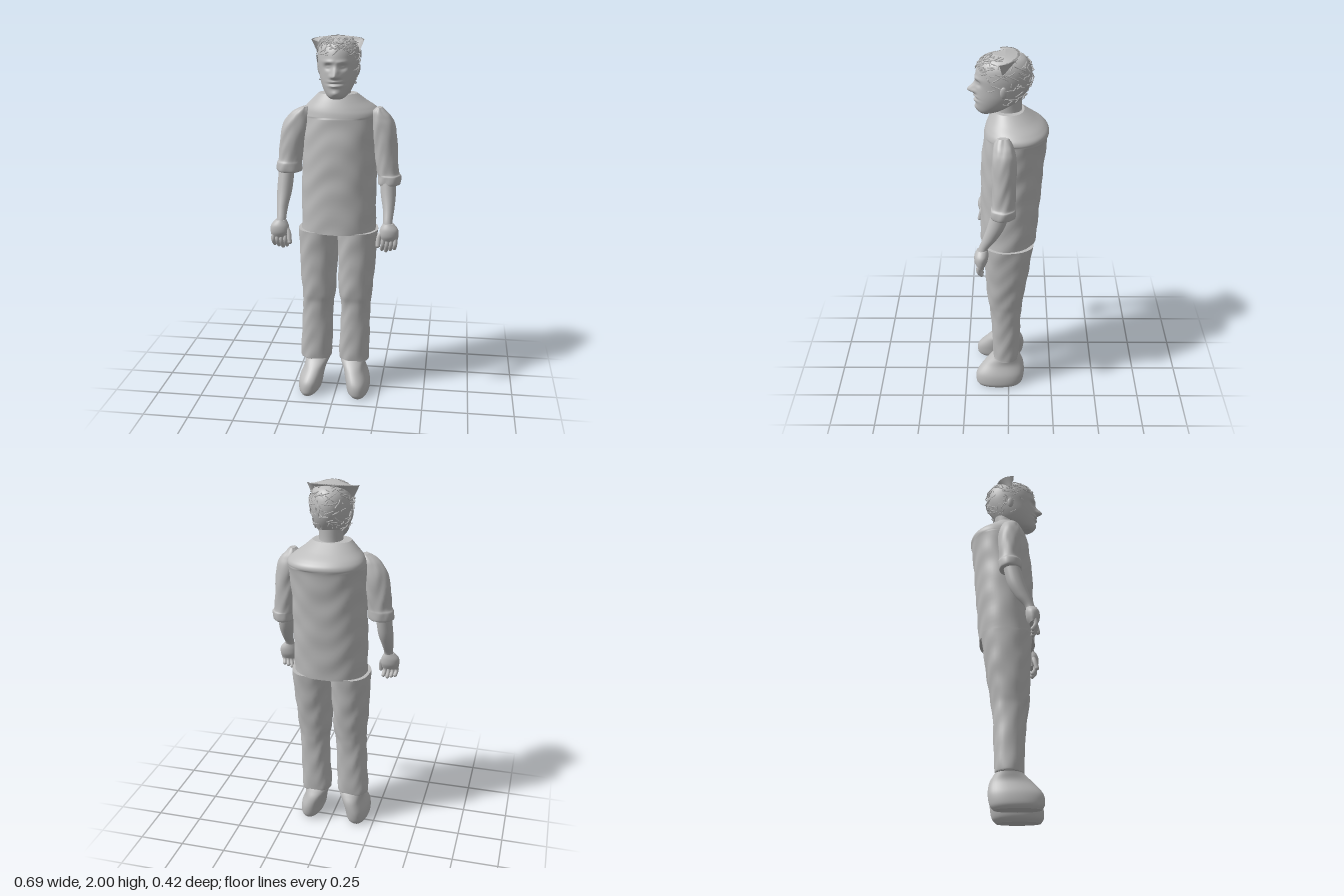
import * as THREE from 'three';
import { ParametricGeometry } from 'three/addons/geometries/ParametricGeometry.js';

const clay = new THREE.MeshStandardMaterial({ color: 0xbcbcbc, side: THREE.DoubleSide });
clay.name = 'clay grey';

let seed = 11;
const rand = () => (seed = (seed * 16807) % 2147483647) / 2147483647;
const bump = (d, s) => Math.exp(-(d * d) / (s * s));

// Smoothly interpolated cross-section; each row is [y, xMin, xMax, zMin, zMax], y ascending
function section(rows, t) {
  const last = rows.length - 1;
  const i = Math.min(Math.floor(t), last - 1), f = t - i;
  const p = (k) => rows[Math.max(0, Math.min(last, k))];
  return rows[0].map((_, c) => {
    const a = p(i - 1)[c], b = p(i)[c], d = p(i + 1)[c], e = p(i + 2)[c];
    return b + 0.5 * f * (d - a + f * (2 * a - 5 * b + 4 * d - e + f * (3 * (b - d) + e - a)));
  });
}

function onSection(rows, t, ang, power = 1, grow = 0) {
  const [y, x0, x1, z0, z1] = section(rows, t);
  const c = Math.cos(ang), s = Math.sin(ang);
  const px = Math.sign(c) * Math.abs(c) ** power, pz = Math.sign(s) * Math.abs(s) ** power;
  return new THREE.Vector3(
    (x0 + x1) / 2 + ((x1 - x0) / 2 + grow) * px, y, (z0 + z1) / 2 + ((z1 - z0) / 2 + grow) * pz);
}

// Closed skin over stacked cross-sections, with flat caps
function loft(rows, { seg = 36, sub = 6, power = 1, warp } = {}) {
  const pos = [], idx = [], n = (rows.length - 1) * sub;
  const add = (v) => pos.push(v.x, v.y, v.z) / 3 - 1;
  const ring = (i) => {
    for (let j = 0; j < seg; j++) {
      const a = (j / seg) * Math.PI * 2, v = onSection(rows, i / sub, a, power);
      if (warp) warp(v, a);
      add(v);
    }
  };
  for (let i = 0; i <= n; i++) ring(i);
  for (let i = 0; i < n; i++) {
    for (let j = 0; j < seg; j++) {
      const a = i * seg + j, b = i * seg + (j + 1) % seg;
      idx.push(a, a + seg, b, b, a + seg, b + seg);
    }
  }
  for (const [i, top] of [[0, false], [n, true]]) {
    const start = pos.length / 3;
    ring(i);
    const [y, x0, x1, z0, z1] = section(rows, i / sub);
    const mid = add(new THREE.Vector3((x0 + x1) / 2, y, (z0 + z1) / 2));
    for (let j = 0; j < seg; j++) {
      const a = start + j, b = start + (j + 1) % seg;
      idx.push(mid, top ? b : a, top ? a : b);
    }
  }
  const g = new THREE.BufferGeometry();
  g.setAttribute('position', new THREE.Float32BufferAttribute(pos, 3));
  g.setIndex(idx);
  g.computeVertexNormals();
  return g;
}

// Soft fabric folds
const cloth = (amp) => (v, a) => {
  const w = amp * (Math.sin(v.y * 46 + 3 * Math.sin(a * 3)) + 0.7 * Math.sin(v.y * 27 + a * 5));
  v.x += w * Math.cos(a);
  v.z += w * Math.sin(a);
};

const TORSO = [
  [0.955, -0.195, 0.21, -0.15, 0.155], [1.2, -0.195, 0.21, -0.17, 0.15], [1.4, -0.19, 0.212, -0.185, 0.145],
  [1.55, -0.19, 0.222, -0.2, 0.13], [1.595, -0.188, 0.225, -0.207, 0.124], [1.625, -0.175, 0.2, -0.185, 0.115],
  [1.66, -0.14, 0.152, -0.135, 0.1], [1.7, -0.1, 0.105, -0.08, 0.08]];
const RIGHT_LEG = [
  [0.19, -0.205, -0.035, -0.055, 0.088], [0.23, -0.208, -0.03, -0.06, 0.09], [0.5, -0.193, -0.022, -0.07, 0.102],
  [0.6, -0.195, -0.008, -0.082, 0.118], [0.75, -0.205, -0.002, -0.105, 0.127], [0.96, -0.212, 0.006, -0.135, 0.137]];
const LEFT_LEG = [
  [0.185, 0.018, 0.182, -0.055, 0.088], [0.23, 0.012, 0.182, -0.06, 0.09], [0.5, 0.025, 0.188, -0.07, 0.102],
  [0.6, 0.01, 0.197, -0.082, 0.118], [0.75, 0.008, 0.21, -0.105, 0.127], [0.96, 0, 0.225, -0.135, 0.137]];
const SHOE = [
  [0, 0.085, 0.18, -0.06, 0.175], [0.025, 0.065, 0.192, -0.08, 0.19], [0.08, 0.055, 0.188, -0.09, 0.186],
  [0.14, 0.04, 0.165, -0.085, 0.14], [0.18, 0.022, 0.165, -0.065, 0.1], [0.21, 0.022, 0.168, -0.045, 0.075]];
const RIGHT_SLEEVE = [
  [1.272, -0.31, -0.205, -0.025, 0.075], [1.28, -0.33, -0.192, -0.035, 0.088], [1.32, -0.328, -0.192, -0.038, 0.088],
  [1.345, -0.316, -0.188, -0.035, 0.082], [1.42, -0.312, -0.17, -0.04, 0.084], [1.52, -0.295, -0.145, -0.04, 0.084],
  [1.58, -0.26, -0.138, -0.028, 0.076], [1.61, -0.225, -0.143, -0.015, 0.068], [1.628, -0.185, -0.155, 0, 0.055]];
const LEFT_SLEEVE = [
  [1.215, 0.24, 0.325, -0.02, 0.08], [1.225, 0.224, 0.342, -0.035, 0.093], [1.265, 0.222, 0.345, -0.038, 0.092],
  [1.29, 0.215, 0.332, -0.035, 0.084], [1.42, 0.2, 0.324, -0.04, 0.084], [1.53, 0.185, 0.312, -0.04, 0.084],
  [1.58, 0.182, 0.29, -0.028, 0.076], [1.61, 0.19, 0.262, -0.015, 0.068], [1.632, 0.21, 0.24, 0, 0.055]];
const FOREARM = [
  [1, 0.262, 0.318, 0.115, 0.165], [1.04, 0.262, 0.312, 0.103, 0.155], [1.1, 0.256, 0.318, 0.055, 0.132],
  [1.18, 0.24, 0.322, 0.012, 0.105], [1.3, 0.23, 0.315, -0.015, 0.075]];
const PALM = [
  [0.935, 0.25, 0.34, 0.125, 0.165], [0.965, 0.243, 0.346, 0.11, 0.178], [1, 0.247, 0.343, 0.105, 0.178],
  [1.03, 0.262, 0.318, 0.108, 0.165]];
const HEAD = [
  [1.685, -0.02, 0.04, 0.085, 0.145], [1.7, -0.042, 0.062, 0.035, 0.16], [1.735, -0.066, 0.086, -0.04, 0.167],
  [1.78, -0.083, 0.103, -0.08, 0.168], [1.83, -0.092, 0.112, -0.107, 0.168], [1.885, -0.098, 0.118, -0.118, 0.168],
  [1.935, -0.093, 0.113, -0.11, 0.155], [1.972, -0.07, 0.09, -0.085, 0.125], [1.993, -0.03, 0.05, -0.04, 0.075]];

// Face relief pushed along z
function face(v, a) {
  if (Math.sin(a) < 0.2) return;
  const x = v.x - 0.01, s = Math.abs(x);
  v.z += 0.042 * bump(x, 0.016) * bump(v.y - 1.806, v.y > 1.806 ? 0.032 : 0.014)
    + 0.01 * bump(s - 0.02, 0.012) * bump(v.y - 1.803, 0.012)
    - 0.016 * bump(s - 0.038, 0.02) * bump(v.y - 1.85, 0.015)
    + 0.007 * bump(s - 0.038, 0.013) * bump(v.y - 1.85, 0.007)
    + 0.006 * bump(s - 0.035, 0.03) * bump(v.y - 1.876, 0.01)
    + 0.011 * bump(x, 0.03) * (bump(v.y - 1.777, 0.008) + bump(v.y - 1.755, 0.008))
    - 0.006 * bump(x, 0.035) * bump(v.y - 1.766, 0.005)
    + 0.009 * bump(x, 0.025) * bump(v.y - 1.715, 0.015);
}

export function createModel() {
  const model = new THREE.Group();
  model.name = 'standingMan';
  const part = (name, geometry, parent = model) => {
    const m = new THREE.Mesh(geometry, clay);
    m.name = name;
    parent.add(m);
    return m;
  };
  const tube = (pts, r, n = 8, sides = 8) => new THREE.TubeGeometry(
    new THREE.CatmullRomCurve3(pts.map((p) => (p.isVector3 ? p : new THREE.Vector3(...p)))), n, r, sides);

  // Clothing
  part('shirt', loft(TORSO, { seg: 56, sub: 10, power: 0.92, warp: (v, a) => v.y < 1.58 && cloth(0.0015)(v, a) }));
  part('rightTrouserLeg', loft(RIGHT_LEG, { sub: 10, power: 0.9, warp: cloth(0.0015) }));
  part('leftTrouserLeg', loft(LEFT_LEG, { sub: 10, power: 0.9, warp: cloth(0.0015) }));
  part('rightSleeve', loft(RIGHT_SLEEVE, { warp: cloth(0.0015) }));
  part('leftSleeve', loft(LEFT_SLEEVE, { warp: cloth(0.0015) }));

  // Shoes, forearms and hands on both sides
  for (const [side, s] of [['left', 1], ['right', -1]]) {
    const mirror = (rows) => (s > 0 ? rows : rows.map(([y, a, b, c, d]) => [y, -b, -a, c, d]));
    const shoe = part(side + 'Shoe', loft(mirror(SHOE), { power: 0.9 }));
    if (s < 0) shoe.position.x = -0.02;
    part(side + 'Forearm', loft(mirror(FOREARM), { seg: 24 }));
    const hand = new THREE.Group();
    hand.name = side + 'Hand';
    model.add(hand);
    part('palm', loft(mirror(PALM), { seg: 24 }), hand);
    for (let i = 0; i < 4; i++) {
      const x = s * (0.262 + i * 0.022), end = 0.882 + 0.007 * Math.abs(i - 1);
      const tip = [x - s * 0.004, end, 0.142];
      part('finger', tube([[x, 0.96, 0.15], [x + s * 0.002, 0.92, 0.158], tip], 0.0115), hand);
      part('fingertip', new THREE.SphereGeometry(0.0115, 8, 6), hand).position.set(...tip);
    }
    const thumbTip = [s * 0.238, 0.915, 0.168];
    part('thumb', tube([[s * 0.27, 1, 0.14], [s * 0.245, 0.965, 0.155], thumbTip], 0.013), hand);
    part('thumbTip', new THREE.SphereGeometry(0.013, 8, 6), hand).position.set(...thumbTip);
  }

  // Neck, head and ears
  part('neck', loft([[1.64, -0.065, 0.08, -0.08, 0.08], [1.7, -0.055, 0.07, -0.068, 0.072],
    [1.78, -0.06, 0.075, -0.07, 0.07]]));
  part('head', loft(HEAD, { seg: 96, sub: 12, warp: face }));
  for (const s of [-1, 1]) {
    const ear = part(s > 0 ? 'leftEar' : 'rightEar', new THREE.SphereGeometry(1, 14, 10));
    ear.scale.set(0.01, 0.032, 0.018);
    ear.position.set(0.01 + s * 0.102, 1.825, 0.025);
    ear.rotation.z = -s * 0.15;
  }

  // Loose criss-cross hair strands, lower at the back than at the brow
  const hair = new THREE.Group();
  hair.name = 'hair';
  model.add(hair);
  for (let i = 0; i < 210; i++) {
    const a = rand() * Math.PI * 2, front = Math.sin(a);
    const low = front > 0.45 ? 5.5 : front > -0.1 ? 4 : 2.4;
    const t = low + rand() * (7.7 - low);
    const da = (rand() - 0.5) * 0.9, dt = (rand() - 0.5) * 1.4;
    const pts = [0, 0.33, 0.67, 1].map((k) => onSection(
      HEAD, Math.max(low, Math.min(7.9, t + dt * k)), a + da * k, 1, 0.002 + 0.007 * rand()));
    part('strand', tube(pts, 0.003, 6, 4), hair);
  }

  // Flared crescent of hair wrapping the crown from behind
  const rim = [[0.108, 0.03, 0.05, 1.91, 0.04], [0.137, 0.045, 0.105, 1.978, 0.012], [0.1, 0.04, 0.025, 1.965, 0.035]];
  part('hairCrest', new ParametricGeometry((u, v, out) => {
    const i = Math.min(1, Math.floor(v * 2)), f = v * 2 - i, a = u * Math.PI;
    const [rx, z, rz, y, lift] = rim[i].map((c, k) => c + (rim[i + 1][k] - c) * f);
    out.set(0.007 + rx * Math.cos(a), y + lift * Math.sin(a), z - rz * Math.sin(a));
  }, 32, 8));

  return model;
}
